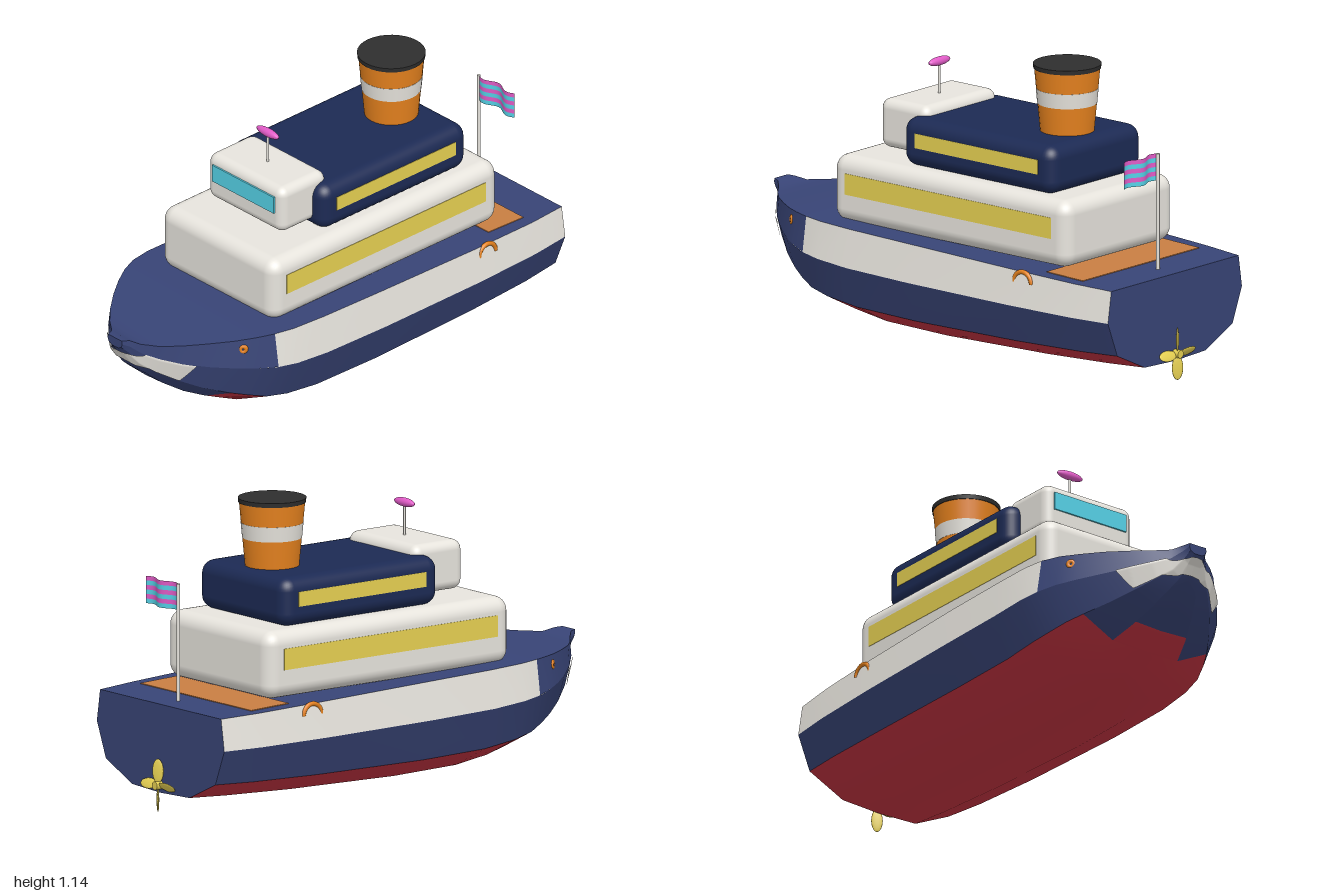
import * as THREE from 'three';
import { RoundedBoxGeometry } from 'three/addons/geometries/RoundedBoxGeometry.js';

const mat = (name, color, side = THREE.FrontSide) => {
  const m = new THREE.MeshStandardMaterial({ color, side });
  m.name = name;
  return m;
};

// Hull stations: z, deck height, keel height, greatest half width
const STATIONS = [
  [-0.97, 0.42, 0.08, 0.385], [-0.8, 0.425, 0.07, 0.405], [-0.5, 0.435, 0.057, 0.42],
  [0, 0.45, 0.045, 0.43], [0.3, 0.457, 0.05, 0.43], [0.45, 0.462, 0.07, 0.425],
  [0.54, 0.465, 0.09, 0.408], [0.61, 0.464, 0.12, 0.378], [0.68, 0.46, 0.15, 0.335],
  [0.76, 0.456, 0.19, 0.275], [0.84, 0.45, 0.245, 0.205], [0.9, 0.447, 0.3, 0.14],
  [0.94, 0.45, 0.345, 0.085], [0.97, 0.465, 0.395, 0.052], [0.998, 0.468, 0.43, 0.04],
];
// Cross-section: height fraction, width fraction
const SECTION = [[0, 0], [0.02, 0.45], [0.24, 0.86], [0.64, 1], [1, 0.95]];

function lookup(table, t) {
  let i = 1;
  while (i < table.length - 1 && t > table[i][0]) i++;
  const a = table[i - 1], b = table[i];
  const f = THREE.MathUtils.clamp((t - a[0]) / (b[0] - a[0]), 0, 1);
  return a.map((v, k) => v + (b[k] - v) * f);
}

function hullPoint(z, h, side) {
  const [, deck, keel, w] = lookup(STATIONS, z);
  return [side * w * lookup(SECTION, h)[1], keel + (deck - keel) * h, z];
}

// Surface from a grid of points; point(i, j) returns [x, y, z]
function grid(nu, nv, point, flip = false) {
  const pos = [], idx = [];
  for (let i = 0; i < nu; i++) for (let j = 0; j < nv; j++) pos.push(...point(i, j));
  for (let i = 0; i < nu - 1; i++) for (let j = 0; j < nv - 1; j++) {
    const a = i * nv + j, b = a + 1, c = a + nv, d = c + 1;
    idx.push(...(flip ? [a, c, b, b, c, d] : [a, b, c, b, d, c]));
  }
  const g = new THREE.BufferGeometry();
  g.setAttribute('position', new THREE.Float32BufferAttribute(pos, 3));
  g.setIndex(idx);
  g.computeVertexNormals();
  return g;
}

const zRange = (z0, z1) =>
  [z0, ...STATIONS.map((s) => s[0]).filter((z) => z > z0 + 0.005 && z < z1 - 0.005), z1];

export function createModel() {
  const model = new THREE.Group();
  model.name = 'ship';
  const blue = mat('hull blue', 0x384476);
  const navy = mat('navy', 0x1c2a54);
  const white = mat('off white', 0xece9e2);
  const red = mat('bottom red', 0xc83442);
  const orange = mat('orange', 0xe6821e);
  const tan = mat('deck tan', 0xc87e42);
  const yellow = mat('yellow', 0xe6d052);
  const cyan = mat('cyan', 0x58d8ee, THREE.DoubleSide);
  const pink = mat('pink', 0xe25cc8, THREE.DoubleSide);
  const charcoal = mat('charcoal', 0x2e2e2e);

  const add = (name, geo, material, x = 0, y = 0, z = 0, parent = model) => {
    const m = new THREE.Mesh(geo, material);
    m.name = name;
    m.position.set(x, y, z);
    parent.add(m);
    return m;
  };

  // Hull plating, one strip per colour and side
  const strips = [
    ['hullBottom', red, -0.97, 0.67, [0, 0.02, 0.24]],
    ['hullBottomFront', red, 0.67, 0.77, [0, 0.02]],
    ['hullSide', blue, -0.97, 0.998, [0.24, 0.64]],
    ['bowKeel', blue, 0.77, 0.998, [0, 0.02]],
    ['bowLower', blue, 0.67, 0.998, [0.02, 0.24]],
    ['bowUpper', blue, 0.535, 0.998, [0.64, 1]],
    ['upperStrake', white, -0.97, 0.535, [0.64, 1]],
  ];
  // Bow paint patches: corners as [z, height fraction]
  const patches = [
    [[0.8, 0.66], [0.835, 0.28], [0.93, 0.7], [0.915, 0.25]],
    [[0.93, 0.7], [0.915, 0.25], [0.992, 0], [0.95, 0]],
  ];
  for (const side of [1, -1]) {
    for (const [name, material, z0, z1, hs] of strips) {
      const zs = zRange(z0, z1);
      add(name, grid(zs.length, hs.length, (i, j) => hullPoint(zs[i], hs[j], side), side < 0), material);
    }
    // Bow paint, laid just over the hull
    for (const [a, b, c, d] of patches) {
      const n = 24;
      const at = (k, u, v) => (a[k] * (1 - v) + b[k] * v) * (1 - u) + (c[k] * (1 - v) + d[k] * v) * u;
      add('bowPaint', grid(n, n, (i, j) => {
        const u = i / (n - 1), v = 1 - j / (n - 1);
        const h = at(1, u, v);
        const p = hullPoint(at(0, u, v), h, side);
        return [h < 0.001 ? 0 : p[0] + side * 0.004, p[1] - 0.004, p[2] + 0.004];
      }, side < 0), white);
    }
    // Hawse ring near the bow and half-sunk ring near the stern
    const [hx, hy, hz] = hullPoint(0.65, 0.88, side);
    const bowRing = add('hawseRing', new THREE.TorusGeometry(0.011, 0.009, 10, 18), orange,
      hx - side * 0.006, hy, hz);
    bowRing.rotation.y = side * 0.85;
    const sternRing = add('sternRing', new THREE.TorusGeometry(0.042, 0.009, 10, 24, Math.PI), orange,
      side * 0.397, 0.391, -0.555);
    sternRing.rotation.y = Math.PI / 2;
  }

  // Deck and the two end faces
  const deckZ = zRange(-0.97, 0.998);
  add('deck', grid(deckZ.length, 2, (i, j) => hullPoint(deckZ[i], 1, j ? -1 : 1)), blue);
  for (const [name, z, flip] of [['transom', -0.97, false], ['stem', 0.998, true]]) {
    add(name, grid(2, SECTION.length, (i, j) => hullPoint(z, SECTION[j][0], i ? 1 : -1), flip), blue);
  }
  const aftDeck = add('aftDeckPlanks', new THREE.BoxGeometry(0.67, 0.008, 0.18), tan, 0, 0.4268, -0.71);
  aftDeck.rotation.x = -0.033;

  // Superstructure: half width, bottom, top, back, front
  const house = (name, hw, y0, y1, z0, z1, r, material) =>
    add(name, new RoundedBoxGeometry(hw * 2, y1 - y0, z1 - z0, 4, r), material, 0, (y0 + y1) / 2, (z0 + z1) / 2);
  house('mainCabin', 0.315, 0.445, 0.705, -0.7, 0.475, 0.055, white);
  house('upperCabin', 0.265, 0.702, 0.89, -0.585, 0.17, 0.052, navy);
  house('bridge', 0.207, 0.735, 0.925, 0.09, 0.33, 0.037, white);
  add('bridgeWindow', new THREE.BoxGeometry(0.34, 0.07, 0.009), cyan, 0, 0.853, 0.332);
  for (const side of [1, -1]) {
    add('mainCabinWindow', new THREE.BoxGeometry(0.008, 0.082, 1.03), yellow, side * 0.3125, 0.598, -0.11);
    add('upperCabinWindow', new THREE.BoxGeometry(0.008, 0.057, 0.615), yellow, side * 0.2625, 0.808, -0.208);
  }

  // Funnel: stacked tapered bands
  const funnelR = (y) => 0.102 + (y - 0.88) * 0.092;
  for (const [name, y0, y1, material, extra] of [
    ['funnelBase', 0.88, 0.997, orange, 0], ['funnelBand', 0.997, 1.055, white, 0.001],
    ['funnelUpper', 1.055, 1.137, orange, 0], ['funnelCap', 1.133, 1.15, charcoal, 0.003],
  ]) {
    add(name, new THREE.CylinderGeometry(funnelR(y1) + extra, funnelR(y0) + extra, y1 - y0, 32),
      material, 0, (y0 + y1) / 2, -0.432);
  }

  // Bridge mast with its scanner
  add('mast', new THREE.CylinderGeometry(0.005, 0.005, 0.13, 10), white, 0, 0.985, 0.207);
  add('scanner', new THREE.SphereGeometry(1, 20, 12), pink, 0, 1.05, 0.207).scale.set(0.06, 0.017, 0.017);

  // Flagpole and waving striped flag
  add('flagpole', new THREE.CylinderGeometry(0.007, 0.007, 0.455, 10), white, 0, 0.645, -0.885);
  const stripes = 6, top = 0.873, tall = 0.105 / stripes;
  for (let s = 0; s < stripes; s++) {
    add('flagStripe', grid(17, 2, (i, j) => {
      const u = i / 16, wave = Math.sin(u * Math.PI * 3);
      return [u * 0.195, top - (s + 1 - j) * tall, -0.885 + wave * 0.012];
    }), s % 2 ? cyan : pink);
  }

  // Propeller
  const propeller = new THREE.Group();
  propeller.name = 'propeller';
  propeller.position.set(0, 0.11, -0.983);
  model.add(propeller);
  add('propellerHub', new THREE.CylinderGeometry(0.016, 0.016, 0.032, 16), yellow, 0, 0, 0, propeller)
    .rotation.x = Math.PI / 2;
  for (let i = 0; i < 4; i++) {
    const arm = new THREE.Group();
    arm.name = 'propellerArm';
    arm.rotation.z = (i * Math.PI) / 2;
    propeller.add(arm);
    const blade = add('propellerBlade', new THREE.SphereGeometry(1, 14, 10), yellow, 0, 0.055, 0, arm);
    blade.scale.set(0.022, 0.047, 0.005);
    blade.rotation.y = 0.6;
  }
  return model;
}
